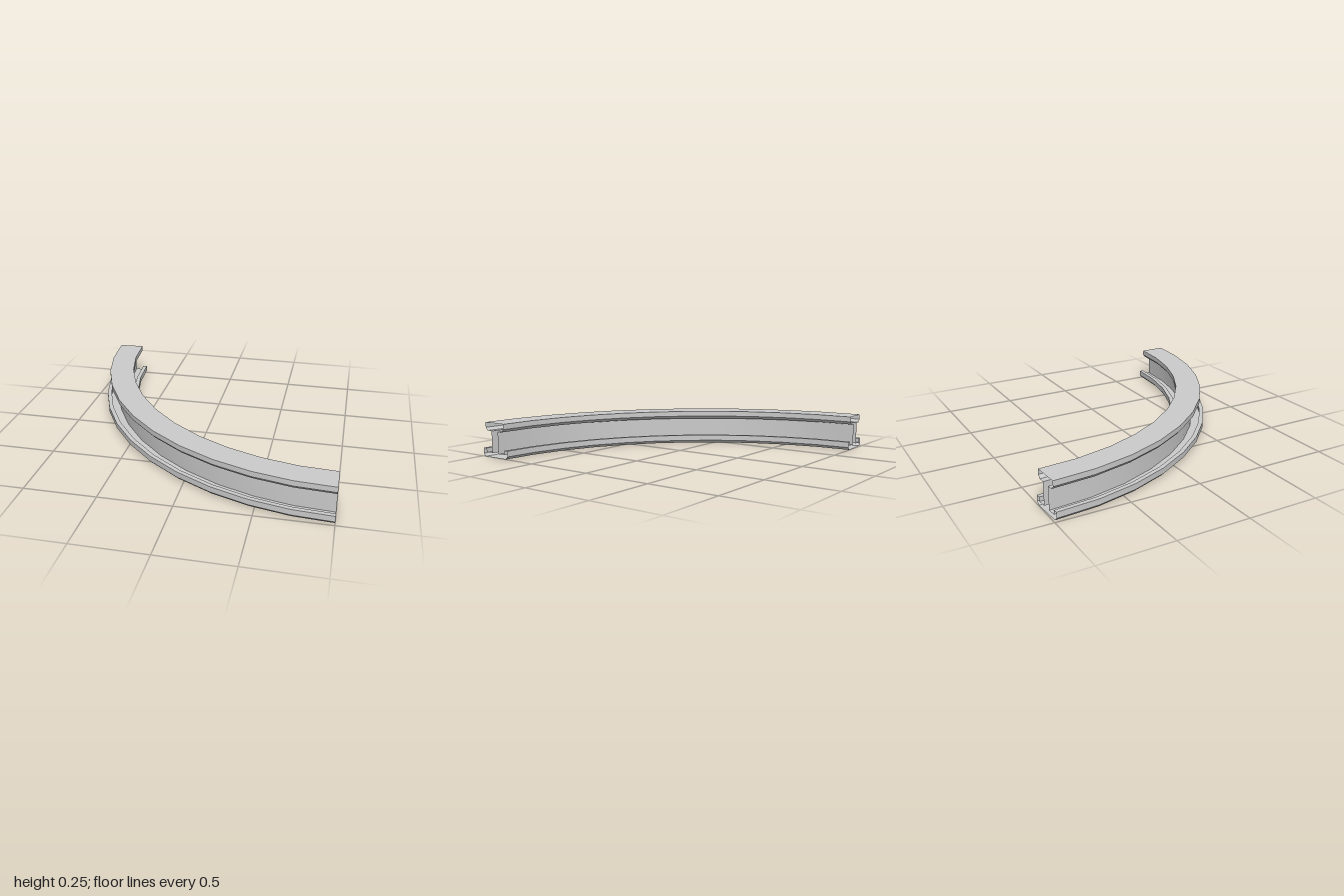
import * as THREE from 'three';
import { toCreasedNormals } from 'three/addons/utils/BufferGeometryUtils.js';

const RADIUS = 1.87, CENTRE_X = 1, CENTRE_Z = -1.003, SEGMENTS = 11;

// Outer half of the I-beam section as [offset from centreline, height]
const half = [
  [0.105, 0], [0.124, 0.02], [0.124, 0.06], [0.093, 0.06], [0.093, 0.03], // lipped base flange
  [0.032, 0.03], [0.032, 0.187],                                         // web
  [0.075, 0.187], [0.093, 0.208], [0.093, 0.245],                        // top flange
];
const profile = [...half, ...half.map(([u, y]) => [-u, y]).reverse()];

// Places a section point at station k of the quarter bend
function sectionPoint(k, [u, y]) {
  const a = THREE.MathUtils.degToRad(7.9 * k + 0.023 * k * k);
  // each section is squared to the segment that leads into it
  const n = k === 0 ? 0 : a - THREE.MathUtils.degToRad(2.8);
  return [
    CENTRE_X - RADIUS * Math.sin(a) - u * Math.sin(n),
    y,
    CENTRE_Z + RADIUS * Math.cos(a) + u * Math.cos(n),
  ];
}

// Sweeps the closed section along the bend, leaving the ends open
function sweepRail() {
  const positions = [];
  for (let k = 0; k < SEGMENTS; k++) {
    for (let i = 0; i < profile.length; i++) {
      const p = profile[i], q = profile[(i + 1) % profile.length];
      const a = sectionPoint(k, p), b = sectionPoint(k, q);
      const c = sectionPoint(k + 1, q), d = sectionPoint(k + 1, p);
      positions.push(...a, ...b, ...c, ...a, ...c, ...d);
    }
  }
  const geometry = new THREE.BufferGeometry();
  geometry.setAttribute('position', new THREE.Float32BufferAttribute(positions, 3));
  return toCreasedNormals(geometry, Math.PI / 6);
}

export function createModel() {
  const group = new THREE.Group();
  group.name = 'curvedRailSection';
  const material = new THREE.MeshStandardMaterial({ color: 0xcccccc, side: THREE.DoubleSide });
  const rail = new THREE.Mesh(sweepRail(), material);
  rail.name = 'curvedRail';
  group.add(rail);
  return group;
}
